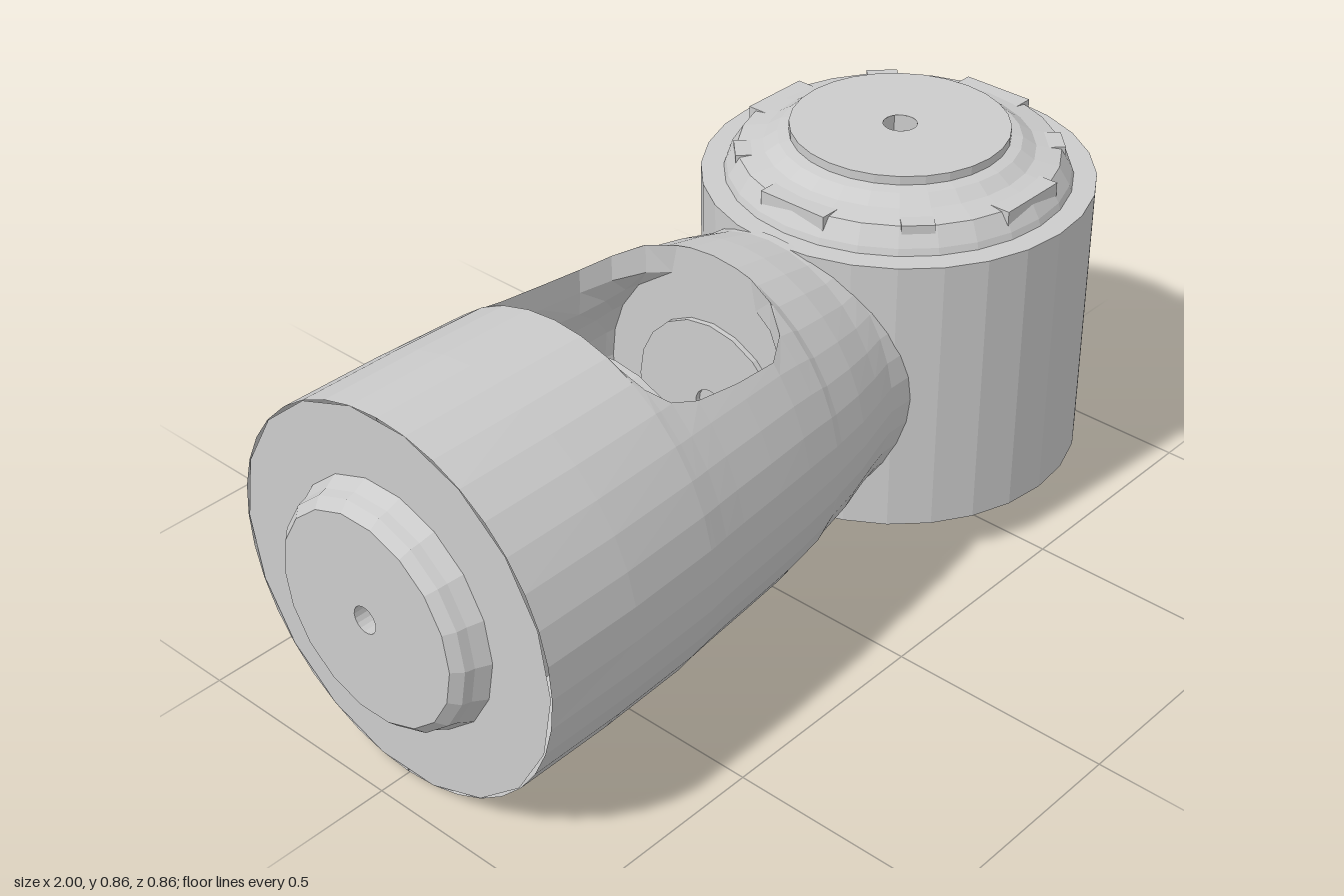
import * as THREE from 'three';

const material = new THREE.MeshStandardMaterial({ color: 0xcccccc, flatShading: true, side: THREE.DoubleSide });
const JOINT_X = 0.57, JOINT_R = 0.43, AXIS_Y = 0.43;

function add(parent, name, geometry, x = 0, y = 0, z = 0) {
  const mesh = new THREE.Mesh(geometry, material);
  mesh.name = name;
  mesh.position.set(x, y, z);
  parent.add(mesh);
  return mesh;
}

function lathe(profile, segments) {
  return new THREE.LatheGeometry(profile.map(([r, y]) => new THREE.Vector2(r, y)), segments);
}

// Half of the arm: oval sections along x, with the window rim at z = w and a hollow behind it
function armHalf() {
  // x, half depth, half height, half width of the window
  const stations = [
    [-0.93, 0.423, 0.42, 0], [-0.7, 0.42, 0.42, 0], [-0.48, 0.407, 0.418, 0],
    [-0.48, 0.407, 0.418, 0.17], [-0.465, 0.405, 0.415, 0.22], [-0.43, 0.4, 0.412, 0.255],
    [-0.37, 0.393, 0.408, 0.268], [-0.26, 0.382, 0.402, 0.27], [-0.15, 0.37, 0.396, 0.265],
    [-0.09, 0.362, 0.385, 0.23], [-0.05, 0.357, 0.375, 0.17], [-0.03, 0.352, 0.362, 0.1],
    [-0.03, 0.352, 0.362, 0], [0.06, 0.335, 0.345, 0], [0.14, 0.312, 0.325, 0],
    [0.2, 0.295, 0.325, 0], [0.3, 0.295, 0.325, 0],
  ];
  const outer = 19, inner = 9, n = outer + inner, pos = [], index = [];
  stations.forEach(([x, rz, ry, w], i) => {
    const a = Math.asin(w / rz);
    for (let j = 0; j < n; j++) {
      let y, z;
      if (j < outer) {
        const t = THREE.MathUtils.clamp(Math.PI * j / (outer - 1), a, Math.PI - a);
        y = ry * Math.cos(t);
        z = rz * Math.sin(t);
      } else {
        y = ry * Math.cos(a) * (2 * (j - outer + 1) / (inner + 1) - 1);
        const hollow = (rz - 0.06) * Math.sqrt(Math.max(0, 1 - (y / (ry - 0.06)) ** 2));
        z = w > 0 ? Math.max(w, hollow) : 0;
      }
      // stop just inside the round joint housing
      const limit = JOINT_X - Math.sqrt(0.41 ** 2 - Math.min(z, 0.4) ** 2);
      pos.push(Math.min(x, limit), AXIS_Y + y, z);
      if (i === stations.length - 1) continue;
      const k = (j + 1) % n, p = i * n;
      index.push(p + j, p + k, p + n + j, p + k, p + n + k, p + n + j);
    }
  });
  const g = new THREE.BufferGeometry();
  g.setAttribute('position', new THREE.Float32BufferAttribute(pos, 3));
  g.setIndex(index);
  g.computeVertexNormals();
  return g;
}

// Sloping spoke from the lower hub out to the ring
function spokeGeometry() {
  const shape = new THREE.Shape();
  shape.moveTo(0.07, 0.005);
  shape.lineTo(0.1, 0.005);
  shape.lineTo(0.28, 0.08);
  shape.lineTo(0.28, 0.12);
  shape.lineTo(0.07, 0.1);
  const g = new THREE.ExtrudeGeometry(shape, { depth: 0.05, bevelEnabled: false });
  return g.translate(0, 0, -0.025);
}

export function createModel() {
  const model = new THREE.Group();

  // Hollow arm with a window through it
  const arm = new THREE.Group();
  arm.name = 'arm';
  model.add(arm);
  add(arm, 'armFront', armHalf());
  add(arm, 'armBack', armHalf()).scale.z = -1;

  // Closed outer end with a raised boss and a small blind hole
  const cap = add(arm, 'endCap', lathe([
    [0.42, 0], [0.27, 0], [0.255, 0.03], [0.25, 0.05], [0.23, 0.07],
    [0.03, 0.07], [0.03, 0.03], [0, 0.03],
  ], 18), -0.93, AXIS_Y, 0);
  cap.rotation.z = Math.PI / 2;

  // Motor flaring out to the arm wall, its shaft, and the bearing plate opposite
  const motor = add(arm, 'motor', lathe([
    [0.385, 0], [0.31, 0.045], [0.25, 0.09], [0.25, 0.16], [0, 0.16],
  ], 24), -0.48, AXIS_Y, 0);
  motor.rotation.z = -Math.PI / 2;
  add(arm, 'motorShaft', new THREE.BoxGeometry(0.07, 0.06, 0.055), -0.285, AXIS_Y, 0);
  const bearing = add(arm, 'bearingPlate', lathe([
    [0.2, 0], [0.2, 0.012], [0.04, 0.012], [0.04, 0],
  ], 20), -0.03, AXIS_Y, 0);
  bearing.rotation.z = Math.PI / 2;

  // Upright joint housing, stepped at the top and recessed below
  const joint = new THREE.Group();
  joint.name = 'joint';
  joint.position.x = JOINT_X;
  model.add(joint);
  add(joint, 'housing', lathe([
    [0.04, 0.2], [0.395, 0.2], [0.395, 0.105], [JOINT_R, 0.105], [JOINT_R, 0.75],
    [0.38, 0.75], [0.375, 0.765], [0.35, 0.805], [0.295, 0.815],
    [0.265, 0.835], [0.24, 0.84], [0.24, 0.86], [0.037, 0.86],
  ], 28));
  add(joint, 'centreBore', new THREE.CylinderGeometry(0.045, 0.045, 0.855, 5, 1, true), 0, 0.4325, 0);

  // Clips set into the stepped top
  for (let i = 0; i < 8; i++) {
    const a = i / 8 * Math.PI * 2;
    const clip = add(joint, 'topClip', new THREE.BoxGeometry(0.05, 0.05, i % 2 ? 0.07 : 0.17),
      0.332 * Math.cos(a), 0.785, -0.332 * Math.sin(a));
    clip.rotation.y = a;
  }

  // Spoked lower cover: ring, shallow dish, hub and spokes
  add(joint, 'lowerRing', lathe([
    [0.25, 0.2], [0.25, 0.08], [0.295, 0.08], [0.312, 0.1], [0.312, 0.2],
  ], 20));
  add(joint, 'lowerDish', lathe([[0.25, 0.085], [0.07, 0.05]], 20));
  add(joint, 'lowerHub', lathe([
    [0.04, 0.005], [0.1, 0.005], [0.115, 0.02], [0.115, 0.1],
  ], 10));
  for (let i = 0; i < 5; i++) {
    add(joint, 'lowerSpoke', spokeGeometry()).rotation.y = i / 5 * Math.PI * 2 + Math.PI / 2;
  }

  return model;
}
